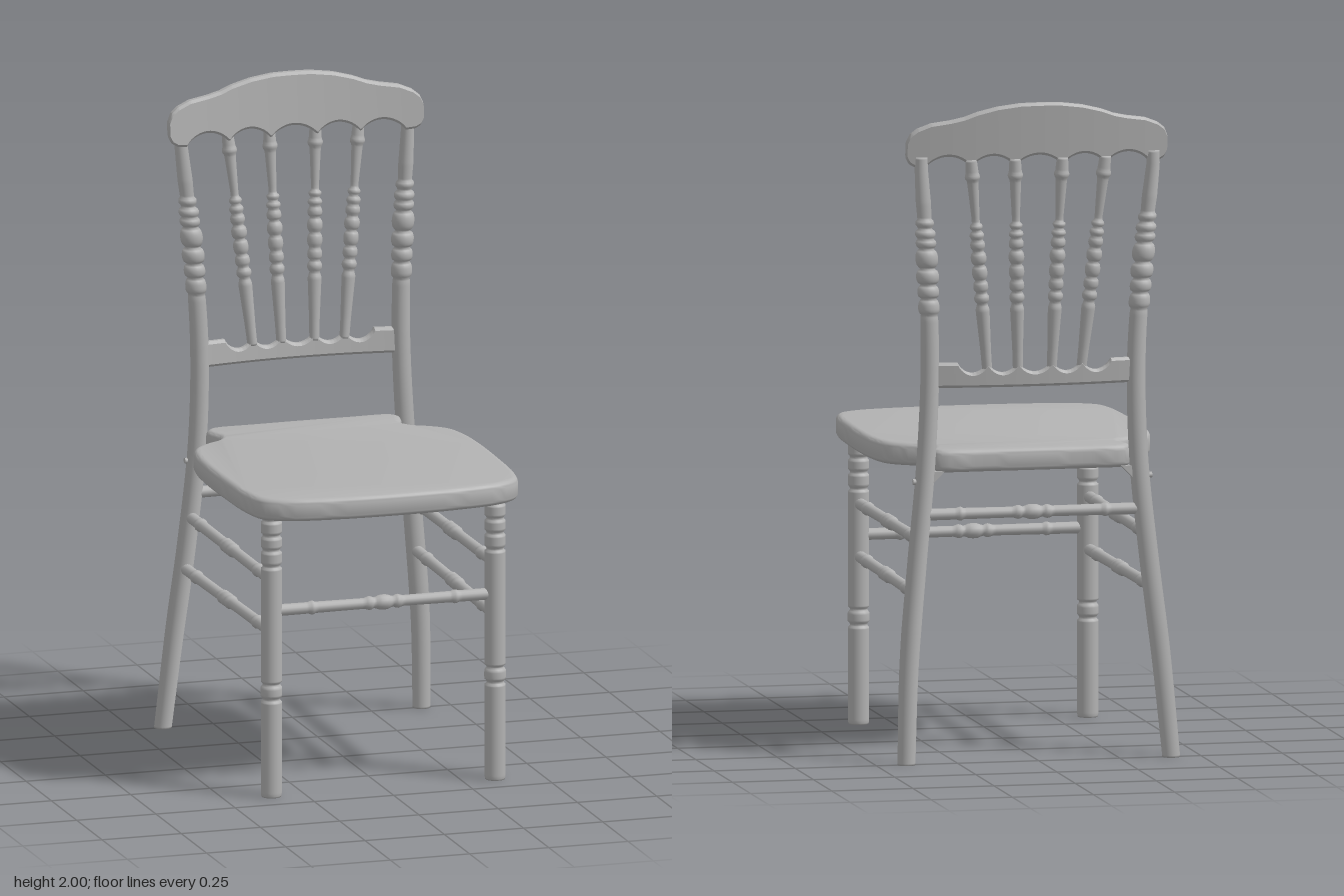
import * as THREE from 'three';
import { toCreasedNormals } from 'three/addons/utils/BufferGeometryUtils.js';

const V = (x, y, z) => new THREE.Vector3(x, y, z);

// Piecewise linear lookup in [[position, value], ...]
function lookup(table, p) {
  if (p <= table[0][0]) return table[0][1];
  for (let i = 1; i < table.length; i++) {
    const [a, va] = table[i - 1], [b, vb] = table[i];
    if (p <= b) return va + (vb - va) * (p - a) / (b - a);
  }
  return table[table.length - 1][1];
}

// Turned wood: base radii plus beads (or grooves) given as [centre, half width, extra radius]
function turned(y0, y1, radii, beads, steps = 100, sides = 18) {
  const pts = [new THREE.Vector2(0, y0)];
  for (let i = 0; i <= steps; i++) {
    const y = y0 + (y1 - y0) * i / steps;
    let r = lookup(radii, y);
    for (const [c, w, e] of beads) {
      const d = (y - c) / w;
      if (Math.abs(d) < 1) r += e * Math.sqrt(1 - d * d);
    }
    pts.push(new THREE.Vector2(r, y));
  }
  pts.push(new THREE.Vector2(0, y1));
  return new THREE.LatheGeometry(pts, sides);
}

// Bowed rail from bevelled upright sections along x
function rail(half, top, bottom, zAt, thick, steps = 160) {
  const pos = [], index = [], t = thick / 2, b = 0.008;
  for (let i = 0; i <= steps; i++) {
    const x = half * (2 * i / steps - 1), yt = top(Math.abs(x)), yb = bottom(Math.abs(x));
    const ring = [[yb, t - b], [yb + b, t], [yt - b, t], [yt, t - b], [yt, b - t], [yt - b, -t], [yb + b, -t], [yb, b - t]];
    for (const [y, dz] of ring) pos.push(x, y, zAt(x, y) + dz);
  }
  for (let i = 0; i < steps; i++) for (let j = 0; j < 8; j++) {
    const a = i * 8 + j, c = i * 8 + (j + 1) % 8;
    index.push(a, a + 8, c, c, a + 8, c + 8);
  }
  const e = steps * 8;
  for (let j = 1; j < 7; j++) index.push(0, j, j + 1, e, e + j + 1, e + j);
  const g = new THREE.BufferGeometry();
  g.setAttribute('position', new THREE.Float32BufferAttribute(pos, 3));
  g.setIndex(index);
  return toCreasedNormals(g, 0.6);
}

// Round scallop height (0..1) between successive cusps
function scallop(cusps, x) {
  for (let i = 1; i < cusps.length; i++) {
    if (x <= cusps[i]) {
      const u = (x - cusps[i - 1]) / (cusps[i] - cusps[i - 1]);
      return Math.pow(Math.max(0, Math.sin(Math.PI * u)), 0.65);
    }
  }
  return 0;
}

export function createModel() {
  const chair = new THREE.Group();
  chair.name = 'chair';
  const paint = new THREE.MeshStandardMaterial({ color: 0xb2b2b2 });
  paint.name = 'grey paint';

  function add(name, geometry) {
    const mesh = new THREE.Mesh(geometry, paint);
    mesh.name = name;
    chair.add(mesh);
    return mesh;
  }
  // Stand a turned piece of matching length between two points
  function between(name, geometry, a, b) {
    const mesh = add(name, geometry);
    mesh.position.copy(a);
    mesh.quaternion.setFromUnitVectors(V(0, 1, 0), b.clone().sub(a).normalize());
  }

  // Seat with waisted back corners
  const half = [[0, 0.53], [0.2, 0.521], [0.34, 0.495], [0.405, 0.45], [0.428, 0.36], [0.436, 0.2], [0.437, 0],
    [0.428, -0.12], [0.405, -0.2], [0.36, -0.245], [0.305, -0.28], [0.287, -0.32], [0.3, -0.36], [0.306, -0.395],
    [0.28, -0.425], [0.15, -0.43], [0, -0.432]];
  const outline = half.concat(half.slice(1, -1).reverse().map(([x, z]) => [-x, z]));
  const loop = new THREE.CatmullRomCurve3(outline.map(([x, z]) => V(x, z, 0)), true, 'centripetal');
  const shape = new THREE.Shape(loop.getPoints(128).slice(0, -1).map(p => new THREE.Vector2(p.x, p.y)));
  const seat = new THREE.ExtrudeGeometry(shape, {
    depth: 0.032, bevelThickness: 0.019, bevelSize: 0.019, bevelOffset: -0.019, bevelSegments: 5,
  });
  seat.rotateX(Math.PI / 2).translate(0, 0.922, 0);
  add('seat', toCreasedNormals(seat, 0.6));

  // Centre line of the back legs, evenly spaced in height
  const legLine = new THREE.CatmullRomCurve3([
    V(0.408, 0, -0.502), V(0.388, 0.3, -0.452), V(0.357, 0.6, -0.421), V(0.328, 0.9, -0.412),
    V(0.318, 1.2, -0.424), V(0.332, 1.5, -0.449), V(0.357, 1.8, -0.48)], false, 'catmullrom');

  for (const side of [1, -1]) {
    const label = side > 0 ? 'left' : 'right';

    // Front leg
    const frontLeg = turned(0, 0.89, [[0, 0.03], [0.01, 0.032], [0.89, 0.032]], [
      [0.302, 0.007, -0.006], [0.325, 0.016, 0.001], [0.349, 0.007, -0.006],
      [0.715, 0.007, -0.006], [0.765, 0.007, -0.006], [0.81, 0.007, -0.006], [0.858, 0.007, -0.006]], 200);
    add(label + 'FrontLeg', frontLeg).position.set(side * 0.353, 0, 0.397);

    // Back leg sweeping up into the back post
    const post = turned(0, 1.84,
      [[0, 0.027], [0.4, 0.03], [1.2, 0.028], [1.34, 0.027], [1.38, 0.022], [1.64, 0.021], [1.7, 0.023], [1.84, 0.019]],
      [[1.38, 0.022, 0.01], [1.425, 0.02, 0.011], [1.472, 0.024, 0.013], [1.528, 0.028, 0.013],
        [1.575, 0.014, 0.01], [1.604, 0.013, 0.01], [1.637, 0.012, 0.007]], 300);
    const p = post.attributes.position;
    for (let i = 0; i < p.count; i++) {
      const c = legLine.getPoint(Math.min(1, p.getY(i) / 1.8));
      p.setXYZ(i, p.getX(i) + side * c.x, p.getY(i), p.getZ(i) + c.z);
    }
    add(label + 'BackLeg', post);

    // Side stretchers
    for (const y of [0.67, 0.51]) {
      const a = V(side * 0.353, y, 0.38), b = V(side * (y > 0.6 ? 0.35 : 0.365), y, -0.415);
      const L = a.distanceTo(b), m = L / 2;
      between(label + 'SideStretcher', turned(0, L, [[0, 0.018], [m, 0.017], [L, 0.018]], [
        [m - 0.035, 0.01, 0.005], [m, 0.022, 0.005], [m + 0.035, 0.01, 0.005],
        [0.11, 0.008, 0.004], [L - 0.11, 0.008, 0.004]], 90, 14), a, b);
    }

    // Bolt and little bracket joining seat and back leg
    const bolt = new THREE.CylinderGeometry(0.009, 0.009, 0.012, 12).rotateZ(Math.PI / 2);
    add(label + 'Bolt', bolt).position.set(side * 0.362, 0.845, -0.413);
    const wedge = new THREE.Shape([[0, 0], [0.05, 0], [0.05, -0.05]].map(q => new THREE.Vector2(...q)));
    const bracket = new THREE.ExtrudeGeometry(wedge, { depth: 0.03, bevelEnabled: false });
    bracket.translate(0, 0, -0.015);
    if (side < 0) bracket.rotateY(Math.PI);
    add(label + 'Bracket', bracket).position.set(side * 0.272, 0.876, -0.41);

    // Back spindles
    for (const [xb, xt, zb, zt] of [[0.052, 0.073, -0.446, -0.502], [0.145, 0.207, -0.44, -0.494]]) {
      const a = V(side * xb, 1.18, zb), b = V(side * xt, 1.83, zt), L = a.distanceTo(b);
      between(label + 'Spindle', turned(0, L,
        [[0, 0.015], [0.06, 0.016], [0.19, 0.021], [0.21, 0.015], [0.44, 0.013], [0.47, 0.012], [0.58, 0.017], [0.61, 0.02], [L, 0.017]],
        [[0.225, 0.014, 0.008], [0.262, 0.018, 0.008], [0.305, 0.022, 0.009], [0.35, 0.02, 0.01],
          [0.39, 0.016, 0.009], [0.42, 0.011, 0.009], [0.447, 0.009, 0.007], [0.6, 0.009, 0.004]], 110, 14), a, b);
    }
  }

  // Front and back stretchers
  for (const [name, x, y, z] of [['frontStretcher', 0.345, 0.575, 0.397], ['backStretcher', 0.342, 0.745, -0.414]]) {
    const L = 2 * x;
    between(name, turned(0, L, [[0, 0.018], [x, 0.016], [L, 0.018]], [
      [x - 0.045, 0.01, 0.005], [x, 0.024, 0.007], [x + 0.045, 0.01, 0.005],
      [0.12, 0.008, 0.004], [L - 0.12, 0.008, 0.004]], 90, 14), V(-x, y, z), V(x, y, z));
  }

  // Crest rail: humped top, scalloped underside, bowed and leaning back
  const crestTop = [[0, 2], [0.06, 1.999], [0.13, 1.99], [0.19, 1.975], [0.23, 1.96], [0.27, 1.951],
    [0.33, 1.942], [0.37, 1.926], [0.39, 1.91], [0.4, 1.888]];
  const crestEnd = [[0.345, 1.805], [0.375, 1.808], [0.392, 1.818], [0.4, 1.835]];
  add('crestRail', rail(0.4, x => lookup(crestTop, x),
    x => x > 0.345 ? lookup(crestEnd, x) : 1.803 + 0.037 * scallop([-0.073, 0.073, 0.207, 0.345], x),
    (x, y) => -0.515 + 0.12 * (2 - y) + 0.03 * (x / 0.4) ** 2, 0.032));

  // Lower back rail with scalloped upper edge
  add('lowerBackRail', rail(0.31,
    x => 1.207 - 0.032 * scallop([-0.052, 0.052, 0.145, 0.235], x),
    () => 1.13,
    (x, y) => -0.447 + 0.025 * (x / 0.3) ** 2 - 0.1 * (y - 1.17), 0.028));

  return chair;
}
